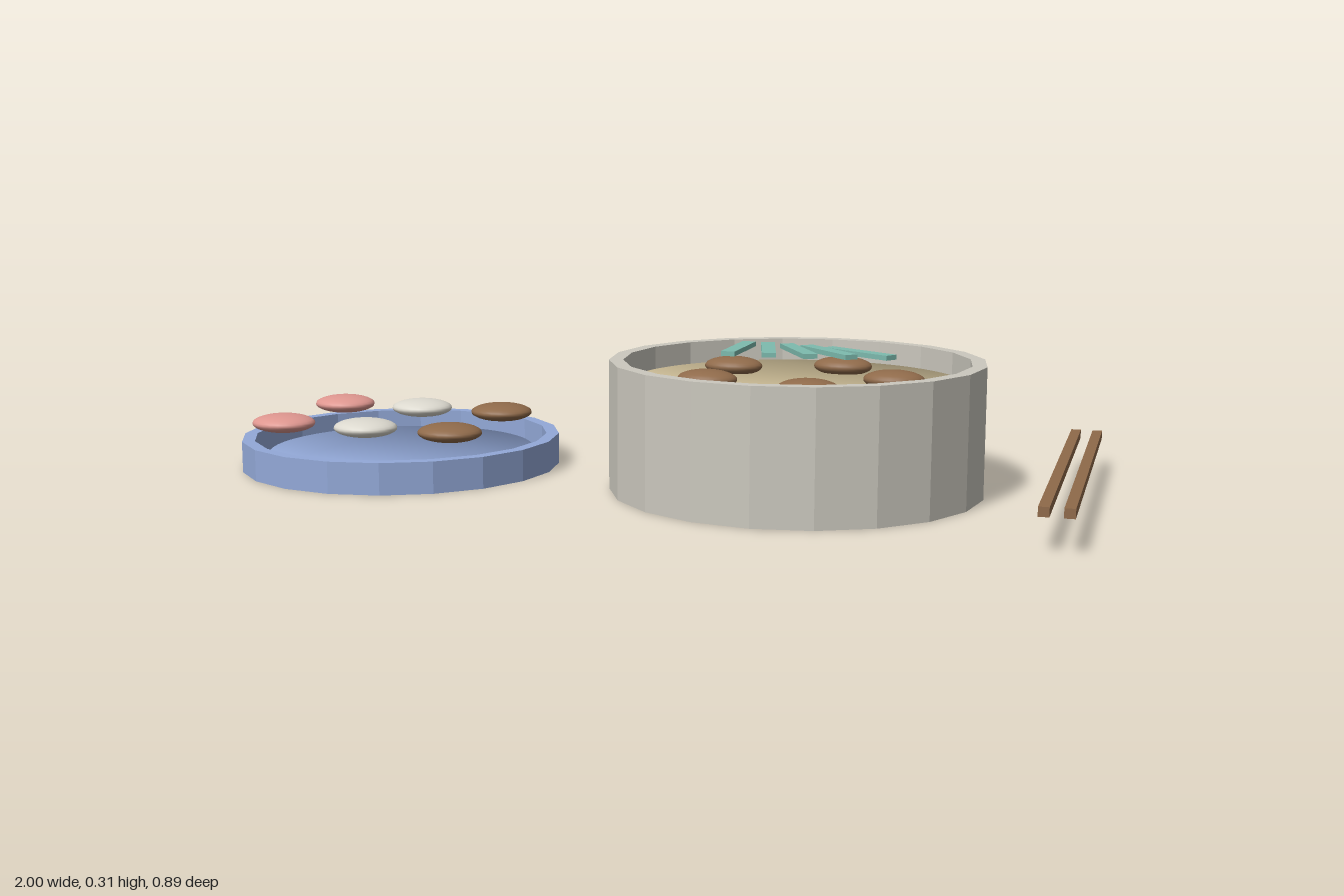
import * as THREE from 'three';
import { mergeVertices } from 'three/addons/utils/BufferGeometryUtils.js';

export function createModel() {
  const mat = (name, color) => {
    const m = new THREE.MeshStandardMaterial({ color });
    m.name = name;
    return m;
  };
  const stone = mat('stone grey', 0xcbc8be);
  const blue = mat('plate blue', 0x93a9d8);
  const broth = mat('broth tan', 0xdccba2);
  const brown = mat('wood brown', 0x8f6a4a);
  const pink = mat('pink', 0xde968f);
  const cream = mat('cream', 0xdbd8ce);
  const teal = mat('herb teal', 0x7dbbae);

  const model = new THREE.Group();
  const add = (parent, name, geometry, material, x, y, z) => {
    const mesh = new THREE.Mesh(geometry, material);
    mesh.name = name;
    mesh.position.set(x, y, z);
    parent.add(mesh);
    return mesh;
  };
  const group = (name, x) => {
    const g = new THREE.Group();
    g.name = name;
    g.position.x = x;
    model.add(g);
    return g;
  };

  // Open faceted ring with 20 sides, standing on y = 0
  const ring = (outer, inner, height) => {
    const profile = [[outer, 0], [outer, height], [inner, height], [inner, 0], [outer, 0]]
      .map(([r, y]) => new THREE.Vector2(r, y));
    const g = new THREE.LatheGeometry(profile, 20).toNonIndexed();
    g.computeVertexNormals();
    return g;
  };

  // Thin round slab with normals rounded over its rim
  const disc = (radius, height) => {
    const shape = new THREE.Shape().absarc(0, 0, radius, 0, Math.PI * 2);
    let g = new THREE.ExtrudeGeometry(shape, { depth: height, bevelEnabled: false, curveSegments: 48 });
    g.rotateX(-Math.PI / 2);
    g.deleteAttribute('uv');
    g.deleteAttribute('normal');
    g.clearGroups();
    g = mergeVertices(g, 1e-5);
    const p = g.attributes.position;
    const normals = new Float32Array(p.count * 3);
    const n = new THREE.Vector3();
    for (let i = 0; i < p.count; i++) {
      n.set(p.getX(i) / radius, p.getY(i) > height / 2 ? 1 : -1, p.getZ(i) / radius);
      n.normalize().toArray(normals, i * 3);
    }
    g.setAttribute('normal', new THREE.BufferAttribute(normals, 3));
    return g;
  };

  // Flattened piece of food
  const morsel = (rx, ry, rz) => new THREE.SphereGeometry(1, 24, 16).scale(rx, ry, rz);

  // Side plate with two rows of three pieces
  const plate = group('plate', -0.62);
  add(plate, 'plateRim', ring(0.38, 0.35, 0.073), blue, 0, 0, 0);
  add(plate, 'plateBase', disc(0.317, 0.02), blue, 0, 0.016, 0);
  [pink, cream, brown].forEach((m, i) => {
    for (const z of [-0.158, 0.152]) {
      add(plate, 'plateFood', morsel(0.076, 0.022, 0.066), m, -0.235 + i * 0.215, 0.111, z);
    }
  });

  // Bowl with its base and broth
  const bowl = group('bowl', 0.355);
  add(bowl, 'bowlWall', ring(0.42, 0.388, 0.293), stone, 0, 0, 0);
  add(bowl, 'bowlBase', disc(0.35, 0.03), stone, 0, 0.02, 0);
  add(bowl, 'broth', disc(0.38, 0.02), broth, 0, 0.222, 0);

  // Five pieces floating in a circle
  for (let i = 0; i < 5; i++) {
    const a = (i / 5) * Math.PI * 2;
    add(bowl, 'bowlFood', morsel(0.068, 0.022, 0.05), brown,
      0.218 * Math.cos(a), 0.257, 0.195 * Math.sin(a));
  }

  // Fan of herb strips
  for (let i = 0; i < 5; i++) {
    const strip = add(bowl, 'herbStrip', new THREE.BoxGeometry(0.032, 0.011, 0.195), teal,
      -0.155 + i * 0.07, 0.302, -0.078);
    strip.rotation.y = i * 0.25;
  }

  // Pair of chopsticks
  for (const x of [0.939, 0.988]) {
    add(model, 'chopstick', new THREE.BoxGeometry(0.022, 0.02, 0.894), brown, x, 0.081, 0);
  }

  return model;
}
